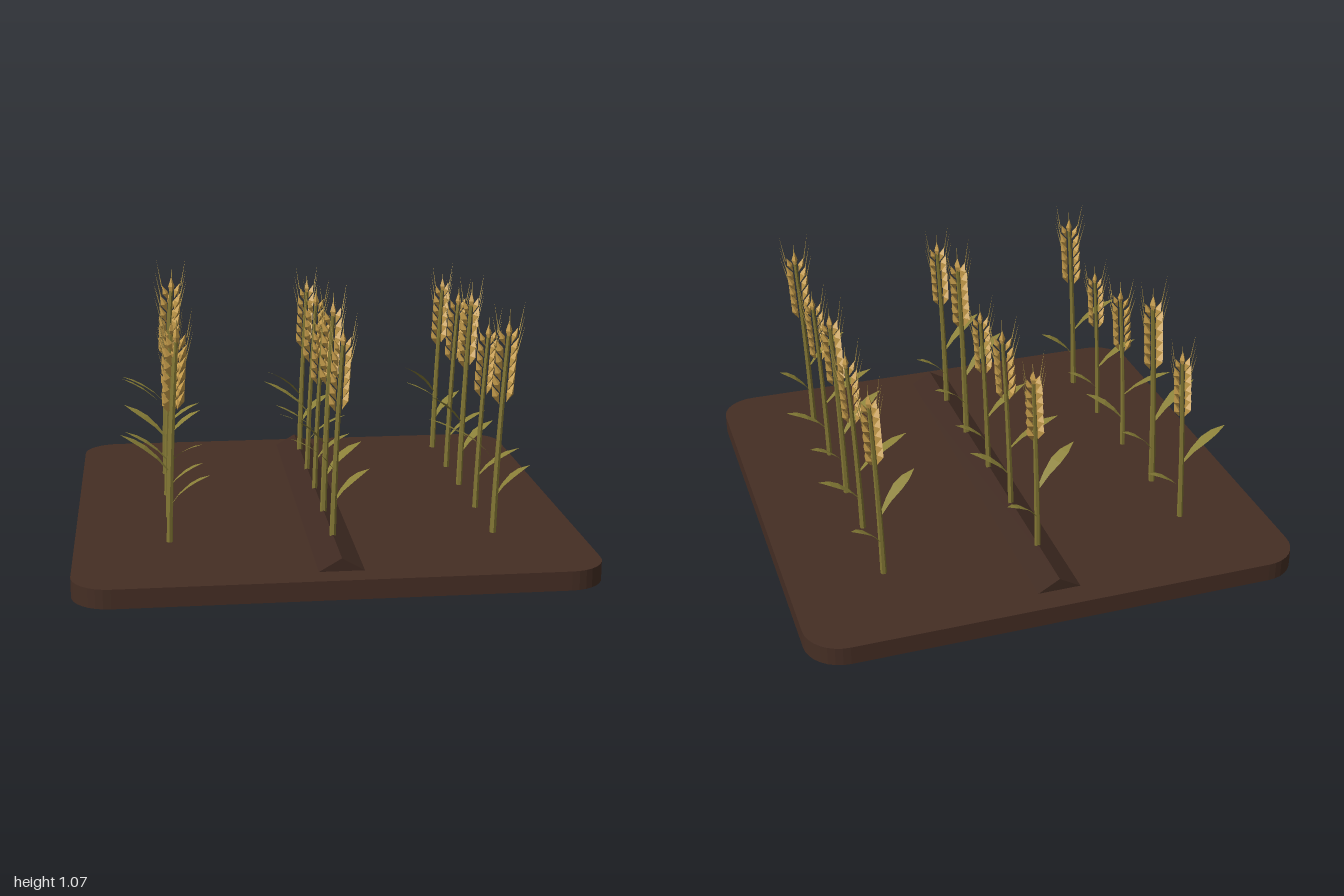
import * as THREE from 'three';
import { mergeGeometries } from 'three/addons/utils/BufferGeometryUtils.js';

const mat = (name, color, extra = {}) => {
  const m = new THREE.MeshStandardMaterial({ color, flatShading: true, ...extra });
  m.name = name;
  return m;
};
const part = (name, geometry, material) => {
  const m = new THREE.Mesh(geometry, material);
  m.name = name;
  return m;
};

// Plants are modelled one unit tall and lean gently towards their own +x
const lean = (y) => 0.03 * y + 0.025 * y * y;

// Slab with rounded corners
function slabGeometry() {
  const r = 0.15, s = new THREE.Shape();
  for (let i = 0; i < 4; i++) {
    const a = i * Math.PI / 2;
    const c = new THREE.Vector2(1 - r, 1 - r).rotateAround(new THREE.Vector2(), a);
    s.absarc(c.x, c.y, r, a, a + Math.PI / 2, false);
  }
  s.closePath();
  const g = new THREE.ExtrudeGeometry(s, { depth: 0.075, bevelEnabled: false, curveSegments: 4 });
  return g.rotateX(-Math.PI / 2);
}

// Triangular furrow ridge running front to back
function ridgeGeometry() {
  const s = new THREE.Shape([[-0.095, 0.07], [0.095, 0.07], [0, 0.125]].map((p) => new THREE.Vector2(...p)));
  return new THREE.ExtrudeGeometry(s, { depth: 1.8, bevelEnabled: false }).translate(0, 0, -0.9);
}

function stemGeometry() {
  const g = new THREE.CylinderGeometry(0.009, 0.015, 0.88, 6, 6).translate(0, 0.44, 0);
  const p = g.attributes.position;
  for (let i = 0; i < p.count; i++) p.setX(i, p.getX(i) + lean(p.getY(i)));
  return g;
}

// Leaf ribbon from stations of [x, y, half width]
function leafGeometry(stations) {
  const pos = [], index = [];
  stations.forEach(([x, y, w], i) => {
    pos.push(x, y, w, x, y, -w);
    if (i) {
      const a = 2 * i - 2;
      index.push(a, a + 2, a + 1, a + 1, a + 2, a + 3);
    }
  });
  const g = new THREE.BufferGeometry();
  g.setAttribute('position', new THREE.Float32BufferAttribute(pos, 3));
  // Wind so the front side looks up
  if (stations.at(-1)[0] < 0) index.reverse();
  g.setIndex(index);
  g.computeVertexNormals();
  return g;
}

// Two rows of pointed grains, splayed outwards
function earGeometry() {
  const grains = [];
  for (let i = 0; i < 6; i++) {
    const y = 0.62 + i * 0.05;
    const size = i === 5 ? 0.85 : 1;
    for (const side of [-1, 1]) {
      grains.push(new THREE.OctahedronGeometry(1).scale(0.016 * size, 0.045 * size, 0.026 * size)
        .rotateZ(-side * 0.38).translate(lean(y) + side * 0.032 * size, y + (side > 0 ? 0.008 : 0), 0));
    }
  }
  grains.push(new THREE.OctahedronGeometry(1).scale(0.015, 0.045, 0.02).translate(lean(0.9), 0.9, 0));
  return mergeGeometries(grains);
}

// Fine bristles fanning from the top of the ear
function awnGeometry() {
  const awns = [];
  const add = (x, y, angle, length) => awns.push(
    new THREE.ConeGeometry(0.003, length, 3).translate(0, length / 2, 0).rotateZ(-angle).translate(x, y, 0));
  for (let i = 0; i < 3; i++) {
    const y = 0.8 + i * 0.05;
    for (const side of [-1, 1]) add(lean(y) + side * 0.045, y, side * (0.26 - i * 0.04), 0.13);
  }
  add(lean(0.93), 0.93, 0, 0.07);
  return mergeGeometries(awns);
}

// Column x, then plants from back to front: [z, turn in degrees, height, leaf span]
const COLUMNS = [
  [-0.63, [[-0.62, 7, 0.81, 0.35], [-0.33, 10, 0.93, 0.345], [-0.005, -27, 0.79, 0.36],
    [0.297, -4, 0.75, 0.31], [0.607, -8.5, 0.89, 0.34]]],
  [0, [[-0.645, 25, 0.85, 0.358], [-0.315, -10, 0.85, 0.36], [-0.015, 4, 0.8, 0.32],
    [0.305, 22, 0.92, 0.377], [0.615, 14, 0.86, 0.325]]],
  [0.63, [[-0.635, 24.5, 0.85, 0.313], [-0.3, 4, 0.84, 0.371], [-0.018, 21, 0.89, 0.353],
    [0.308, 4, 0.81, 0.386], [0.632, 1, 0.89, 0.3]]],
];

export function createModel() {
  const soil = mat('soil', 0x452e24);
  const ridgeSoil = mat('ridge soil', 0x3f2a21);
  const stalk = mat('stalk green', 0x837734);
  const foliage = mat('leaf green', 0x8a8038, { side: THREE.DoubleSide });
  const gold = mat('grain gold', 0xc39a4a);
  const straw = mat('awn straw', 0xb89c50);

  const model = new THREE.Group();
  model.name = 'wheatField';
  model.add(part('soilSlab', slabGeometry(), soil), part('furrowRidge', ridgeGeometry(), ridgeSoil));

  // Geometries shared by every plant
  const stem = stemGeometry(), ear = earGeometry(), awns = awnGeometry();
  const upperLeaf = leafGeometry([[0.01, 0.31, 0.006], [-0.05, 0.375, 0.019], [-0.11, 0.42, 0.031],
    [-0.165, 0.45, 0.026], [-0.225, 0.475, 0.001]]);
  const lowerLeaf = leafGeometry([[0.005, 0.16, 0.006], [0.05, 0.215, 0.019], [0.1, 0.255, 0.031],
    [0.145, 0.28, 0.026], [0.2, 0.3, 0.001]]);

  for (const [x, plants] of COLUMNS) {
    for (const [z, turn, height, span] of plants) {
      const plant = new THREE.Group();
      plant.name = 'wheatPlant';
      const leaves = [part('upperLeaf', upperLeaf, foliage), part('lowerLeaf', lowerLeaf, foliage)];
      for (const leaf of leaves) leaf.scale.x = span / (0.425 * height);
      plant.add(part('stem', stem, stalk), ...leaves, part('grainEar', ear, gold), part('awns', awns, straw));
      plant.position.set(x, 0.115, z);
      plant.rotation.y = THREE.MathUtils.degToRad(turn);
      plant.scale.setScalar(height);
      model.add(plant);
    }
  }
  return model;
}
